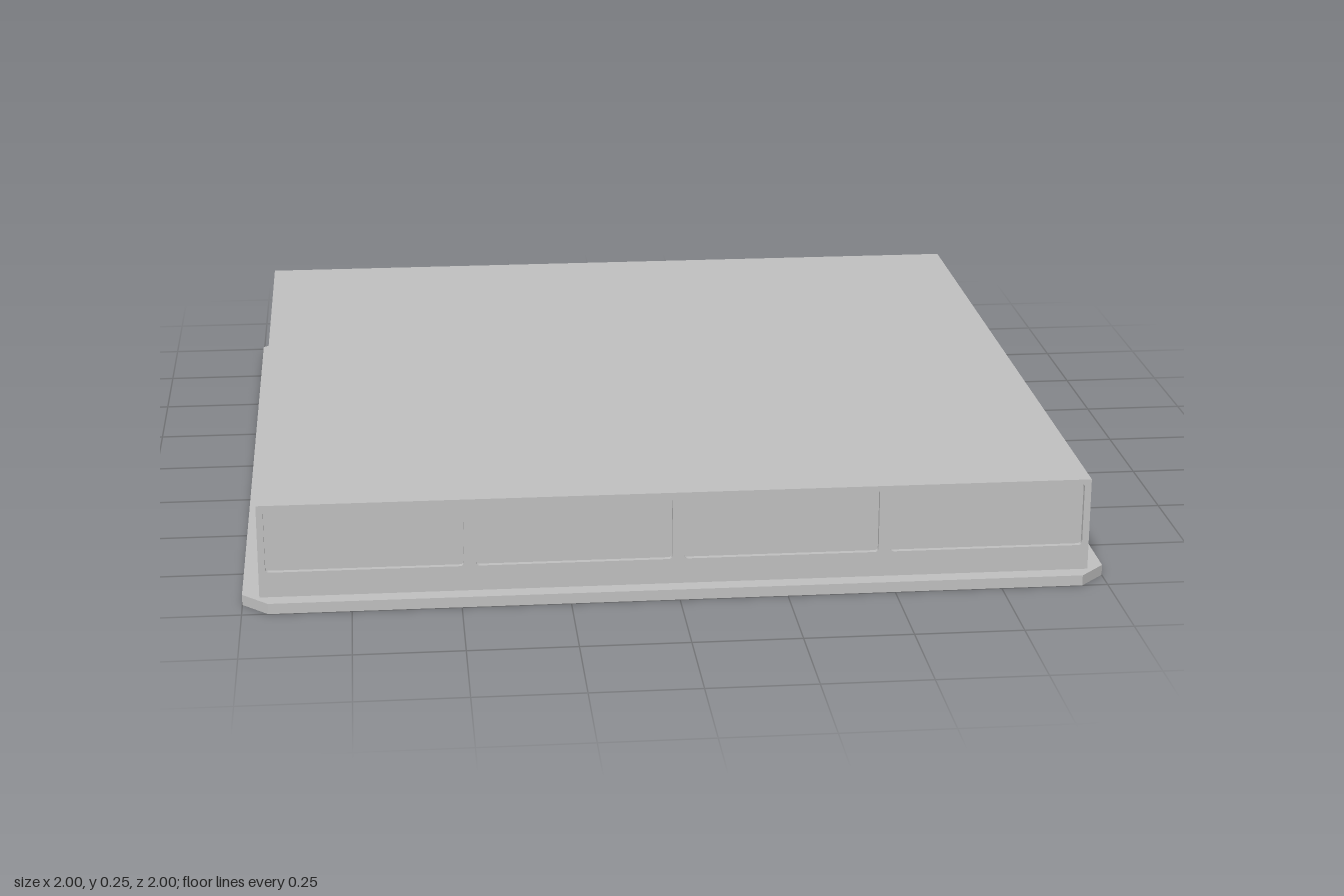
import * as THREE from 'three';

const HALF = 0.96, HEIGHT = 0.247, PLINTH = 0.025, DEPTH = 0.012;

// Rounded rectangle outline used for the recessed panels
function roundedRect(path, x0, y0, x1, y1, r) {
  path.moveTo(x0 + r, y0);
  path.lineTo(x1 - r, y0);
  path.quadraticCurveTo(x1, y0, x1, y0 + r);
  path.lineTo(x1, y1 - r);
  path.quadraticCurveTo(x1, y1, x1 - r, y1);
  path.lineTo(x0 + r, y1);
  path.quadraticCurveTo(x0, y1, x0, y1 - r);
  path.lineTo(x0, y0 + r);
  path.quadraticCurveTo(x0, y0, x0 + r, y0);
  return path;
}

// Wall facing with four openings
function facingGeometry(halfWidth) {
  const shape = new THREE.Shape([
    new THREE.Vector2(-halfWidth, PLINTH), new THREE.Vector2(halfWidth, PLINTH),
    new THREE.Vector2(halfWidth, HEIGHT), new THREE.Vector2(-halfWidth, HEIGHT),
  ]);
  for (let i = 0; i < 4; i++) {
    const cx = (i - 1.5) * 0.479;
    shape.holes.push(roundedRect(new THREE.Path(), cx - 0.226, 0.085, cx + 0.226, 0.237, 0.01));
  }
  return new THREE.ExtrudeGeometry(shape, { depth: DEPTH, bevelEnabled: false, curveSegments: 4 });
}

export function createModel() {
  const group = new THREE.Group();
  const grey = new THREE.MeshStandardMaterial({ color: 0xc0c0c0 });
  grey.name = 'light grey';

  const add = (name, geometry) => {
    const mesh = new THREE.Mesh(geometry, grey);
    mesh.name = name;
    group.add(mesh);
    return mesh;
  };

  // Plinth with clipped corners
  const c = 0.94;
  const outline = [[-c, -1], [c, -1], [1, -c], [1, c], [c, 1], [-c, 1], [-1, c], [-1, -c]];
  const plinth = new THREE.ExtrudeGeometry(
    new THREE.Shape(outline.map(([x, y]) => new THREE.Vector2(x, y))),
    { depth: PLINTH, bevelEnabled: false });
  plinth.rotateX(-Math.PI / 2);
  add('plinth', plinth);

  // Inner block: its sides are the backs of the recessed panels
  const inner = HALF - DEPTH;
  const core = add('coreBlock', new THREE.BoxGeometry(inner * 2, HEIGHT - PLINTH, inner * 2));
  core.position.y = (HEIGHT + PLINTH) / 2;

  // Facings on all four sides; left and right fit between front and back
  ['front', 'left', 'back', 'right'].forEach((side, i) => {
    const geometry = facingGeometry(i % 2 ? inner : HALF);
    geometry.translate(0, 0, inner);
    add(side + 'Facing', geometry).rotation.y = i * Math.PI / 2;
  });

  return group;
}
